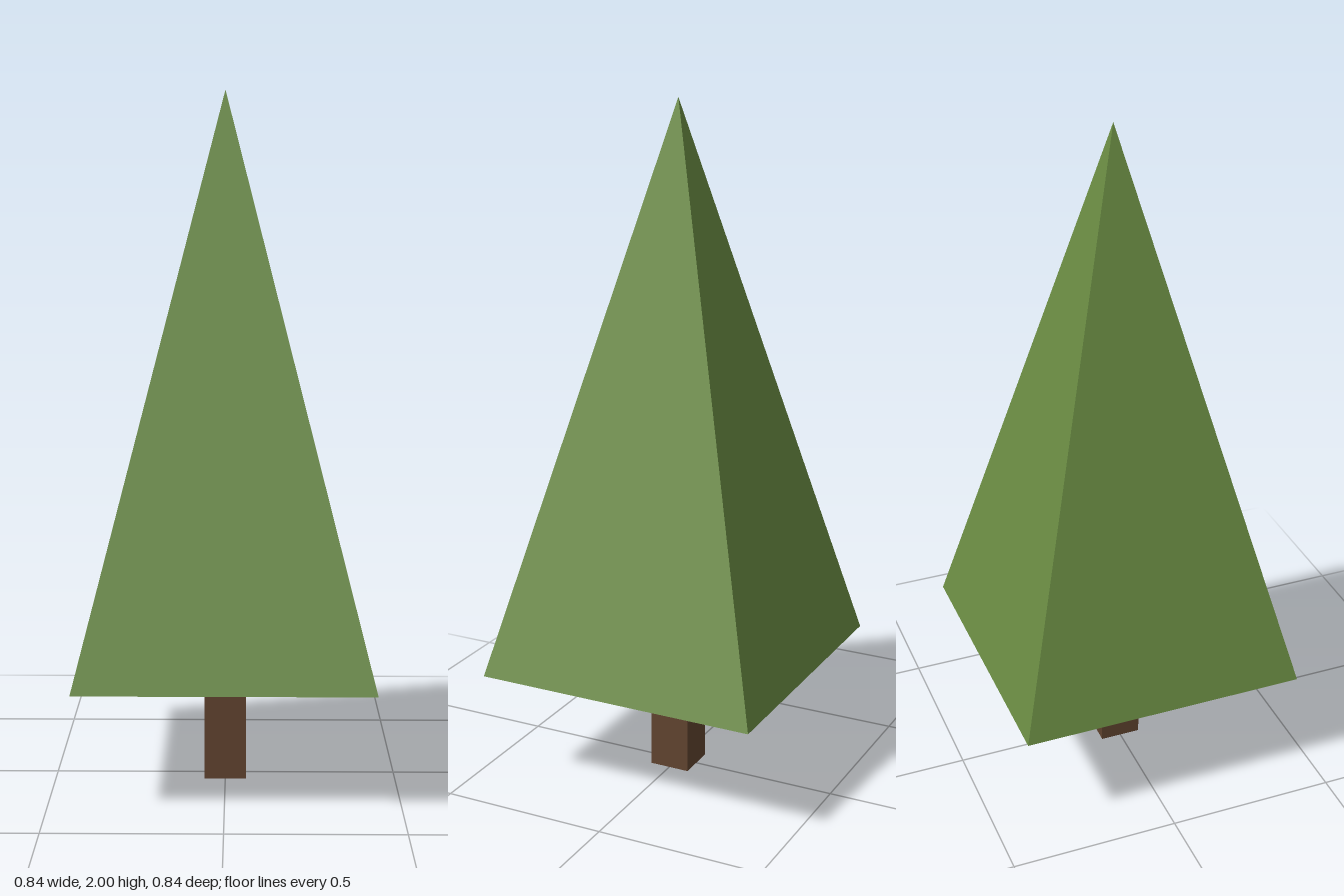
import * as THREE from 'three';

export function createModel() {
  const tree = new THREE.Group();
  tree.name = 'tree';

  const trunkHeight = 0.36, trunkWidth = 0.122;
  const crownHeight = 1.64, crownHalfWidth = 0.421;

  // Square trunk standing on the ground
  const trunk = new THREE.Mesh(
    new THREE.BoxGeometry(trunkWidth, trunkHeight, trunkWidth),
    new THREE.MeshStandardMaterial({ color: 0x60432f, flatShading: true })
  );
  trunk.name = 'trunk';
  trunk.position.y = trunkHeight / 2;

  // Four-sided pyramid crown with a flat underside, turned so its faces are axis-aligned
  const crownGeometry = new THREE.ConeGeometry(crownHalfWidth * Math.SQRT2, crownHeight, 4);
  crownGeometry.rotateY(Math.PI / 4);
  const crown = new THREE.Mesh(
    crownGeometry,
    new THREE.MeshStandardMaterial({ color: 0x6a8c43, flatShading: true })
  );
  crown.name = 'crown';
  crown.position.y = trunkHeight + crownHeight / 2;

  tree.add(trunk, crown);
  return tree;
}
